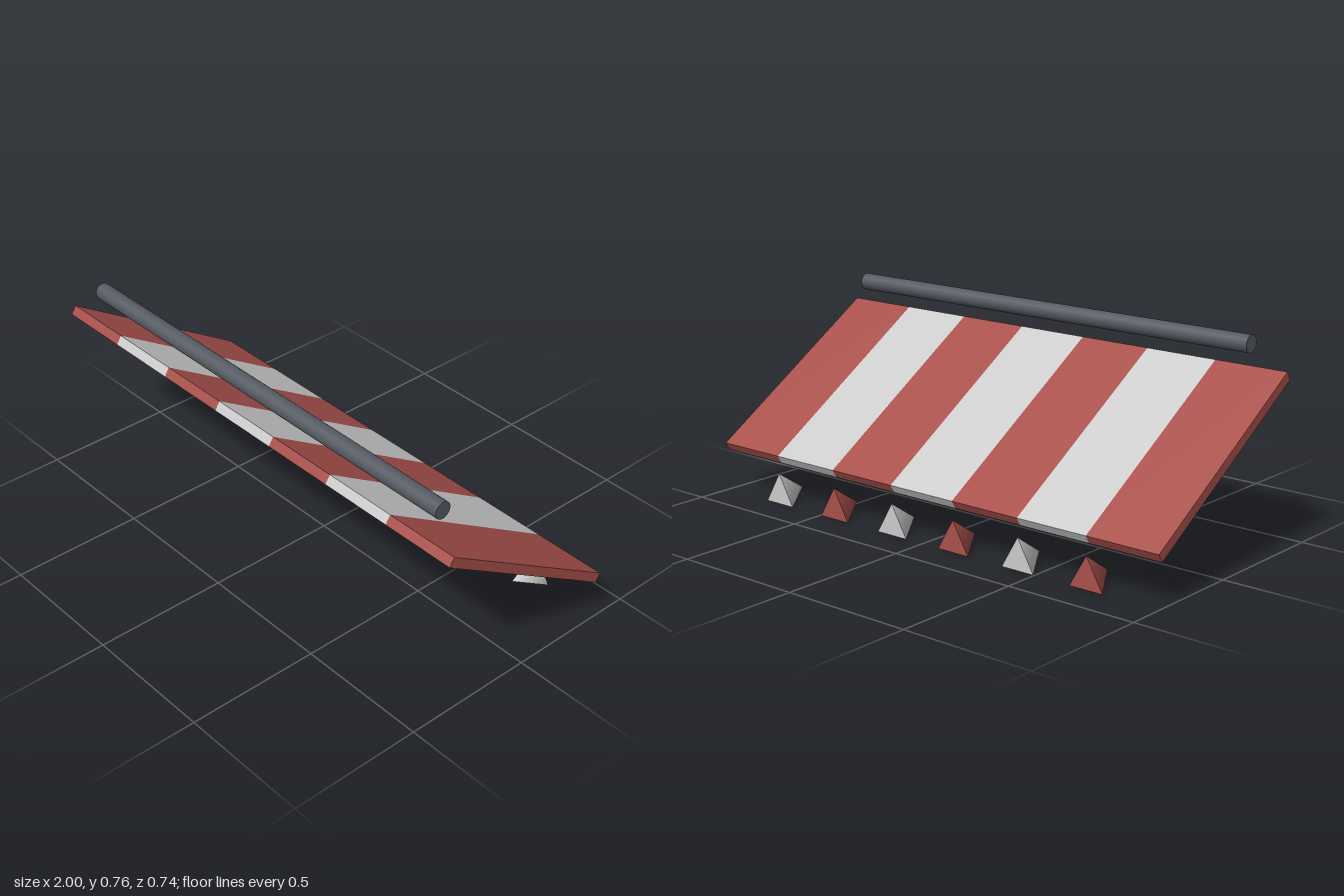
import * as THREE from 'three';

export function createModel() {
  const model = new THREE.Group();
  model.name = 'awning';

  const red = new THREE.MeshStandardMaterial({ color: 0xa8504b });
  const white = new THREE.MeshStandardMaterial({ color: 0xe0dfdc });
  const steel = new THREE.MeshStandardMaterial({ color: 0x555a62 });

  const add = (parent, name, geometry, material, x, y, z) => {
    const mesh = new THREE.Mesh(geometry, material);
    mesh.name = name;
    mesh.position.set(x, y, z);
    parent.add(mesh);
    return mesh;
  };

  // Sloping canopy made of seven alternating stripes
  const stripes = 7;
  const stripeWidth = 2 / stripes;
  const canopy = new THREE.Group();
  canopy.name = 'canopy';
  canopy.position.y = 0.397;
  canopy.rotation.x = -0.557;
  model.add(canopy);
  const stripeGeometry = new THREE.BoxGeometry(stripeWidth, 0.036, 0.854);
  for (let i = 0; i < stripes; i++) {
    add(canopy, 'stripe', stripeGeometry, i % 2 ? white : red, -1 + (i + 0.5) * stripeWidth, 0, 0);
  }

  // Three-sided valance points below the low edge, tips facing forward
  const pointGeometry = new THREE.ConeGeometry(0.078, 0.117, 3);
  pointGeometry.rotateY(Math.PI).rotateX(Math.PI / 2);
  for (let i = 1; i < stripes; i++) {
    add(model, 'valancePoint', pointGeometry, i % 2 ? red : white, -1 + i * stripeWidth, 0.04, -0.309);
  }

  // Roller bar above the high edge
  const barGeometry = new THREE.CylinderGeometry(0.032, 0.032, 1.78, 20);
  barGeometry.rotateZ(Math.PI / 2);
  add(model, 'rollerBar', barGeometry, steel, 0, 0.727, 0.298);

  return model;
}
